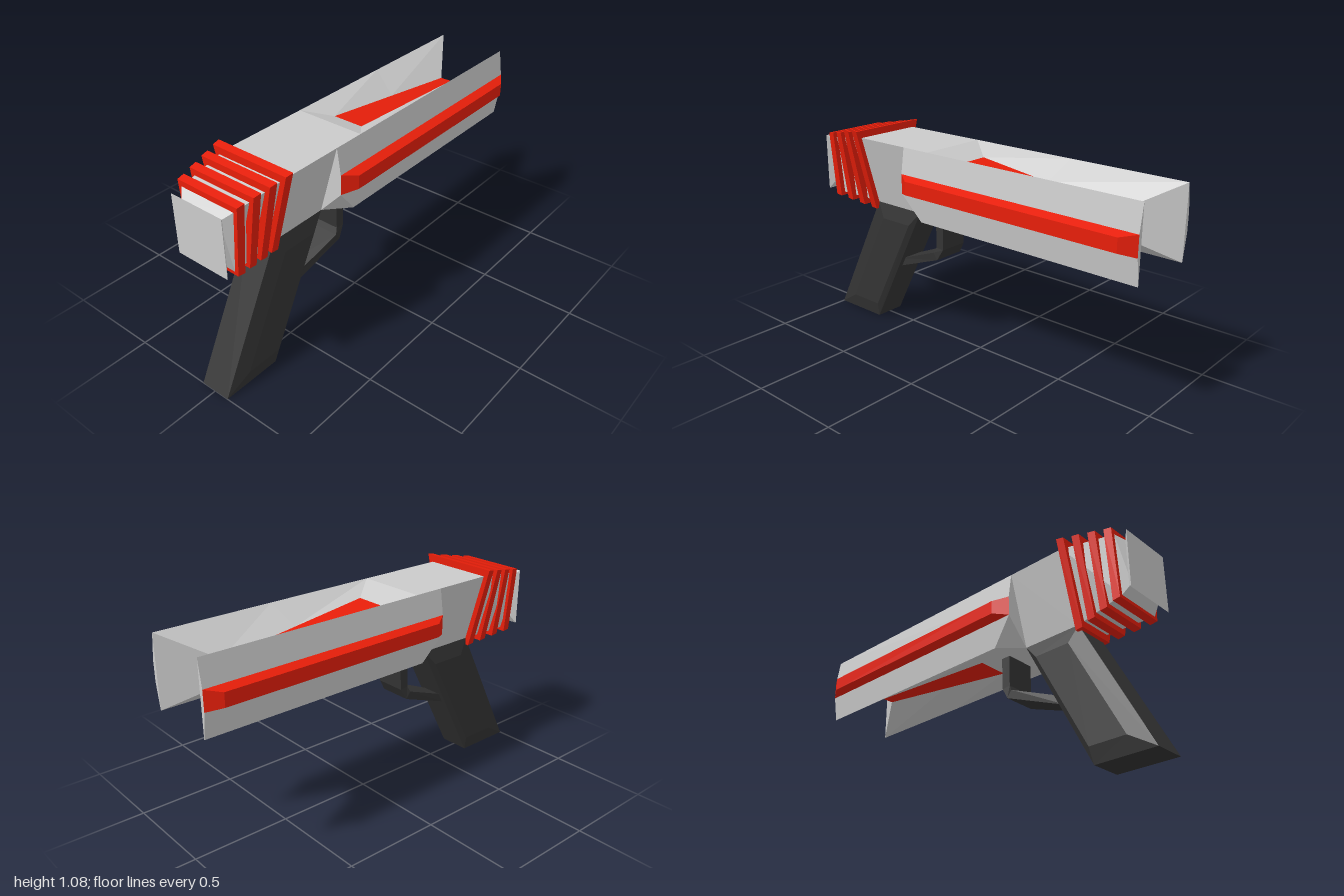
import * as THREE from 'three';

const grey = new THREE.MeshStandardMaterial({ name: 'lightGrey', color: 0xcbcbcb });
const red = new THREE.MeshStandardMaterial({ name: 'red', color: 0xec1f0a });
const dark = new THREE.MeshStandardMaterial({ name: 'charcoal', color: 0x333333 });

// Flat-faced mesh from convex polygons, each fanned into triangles
function faces(name, material, polys) {
  const pos = [];
  for (const p of polys)
    for (let i = 1; i < p.length - 1; i++) pos.push(...p[0], ...p[i], ...p[i + 1]);
  const geo = new THREE.BufferGeometry();
  geo.setAttribute('position', new THREE.Float32BufferAttribute(pos, 3));
  geo.computeVertexNormals();
  const mesh = new THREE.Mesh(geo, material);
  mesh.name = name;
  return mesh;
}

// Closed solid through rings of equal length
function loft(name, material, rings) {
  const polys = [[...rings[0]].reverse(), rings[rings.length - 1]];
  for (let r = 0; r < rings.length - 1; r++) {
    const a = rings[r], b = rings[r + 1];
    a.forEach((p, i) => {
      const j = (i + 1) % a.length;
      polys.push([p, a[j], b[j]], [p, b[j], b[i]]);
    });
  }
  return faces(name, material, polys);
}

// Adds the copy of each polygon on the other side
const mirrored = (polys) =>
  polys.concat(polys.map((poly) => poly.map(([x, y, z]) => [x, y, -z]).reverse()));

// Trapezoid cross-section at x
const section = (x, top, bottom, wTop, wBottom) => [
  [x, top, -wTop], [x, top, wTop], [x, bottom, wBottom], [x, bottom, -wBottom],
];
const atZ = (outline, z) => outline.map(([x, y]) => [x, y, z]);

export function createModel() {
  const g = new THREE.Group();
  g.name = 'toyBlaster';

  // Barrel: two bulged side plates joined by a tapering core
  const A = [-0.18, 1.04, 0.18], A2 = [-0.18, 0.68, 0.18];
  const B = [1, 1.04, 0.18], B2 = [1, 0.68, 0.18];
  const C = [0.77, 0.906, 0.03], C2 = [0.77, 0.79, 0.03];
  const D = [-0.05, 0.99, 0.08], D2 = [-0.05, 0.705, 0.08];
  const K = [0.4, 1.04, 0.18], K2 = [0.4, 0.68, 0.18];
  const L = [0.36, 0.948, 0.055], L2 = [0.36, 0.7475, 0.055];
  const E = [-0.34, 1.04, 0.18], G = [-0.34, 0.68, 0.08], F = [-0.23, 0.68, 0.18];
  const M = [-0.34, 0.91, 0.2], N = [-0.34, 0.81, 0.2];
  const P = [1, 0.91, 0.2], Q = [1, 0.81, 0.2];
  const mid = ([x, y]) => [x, y, 0];
  g.add(faces('barrel', grey, mirrored([
    [E, M, P, B], [M, N, Q, P], [N, F, B2, Q],    // outer sides
    [N, G, F],                                    // cut lower corner
    [B, P, Q, B2],                                // plate ends
    [A, K, L, D], [K, B, C, L],                   // upper channel
    [D2, L2, K2, A2], [L2, C2, B2, K2],           // lower channel
    [B, B2, C2, C],                               // muzzle slopes
    [A, D, mid(D), mid(A)], [A2, mid(A2), mid(D2), D2],
    [E, A, mid(A), mid(E)], [G, mid(G), mid(A2), A2, F],
    [E, mid(E), mid(G), G, N, M],                 // rear shoulder
  ])));

  // Red core between the plates
  g.add(faces('barrelCore', red, mirrored([
    [D, C, mid(C), mid(D)], [D2, mid(D2), mid(C2), C2], [C, C2, mid(C2), mid(C)],
  ])));

  // Receiver, narrowing below and toward the back
  g.add(loft('receiver', grey, [
    section(-0.96, 0.965, 0.75, 0.11, 0.105),
    section(-0.92, 1.0, 0.7, 0.15, 0.125),
    section(-0.65, 1.04, 0.68, 0.18, 0.08),
    section(-0.34, 1.04, 0.68, 0.18, 0.08),
  ]));
  g.add(loft('endPlate', grey, [
    section(-0.98, 1.0, 0.705, 0.145, 0.145),
    section(-0.957, 0.972, 0.742, 0.122, 0.122),
  ]));

  // Cooling fins
  for (let i = 0; i < 4; i++) {
    const x = -0.92 + i * 0.078;
    const top = 1.033 + i * 0.0145, bottom = 0.68 - i * 0.012;
    const wTop = 0.175 + i * 0.0133, wBottom = 0.143 - i * 0.014;
    g.add(loft('fin' + (i + 1), red, [
      section(x, top - 0.006, bottom + 0.004, wTop - 0.004, wBottom),
      section(x + 0.038, top, bottom, wTop, wBottom),
    ]));
  }

  // Bevelled rails along both sides
  const base = [[-0.34, 0.81], [1, 0.81], [1, 0.91], [-0.34, 0.91]];
  const face = [[-0.27, 0.826], [0.93, 0.826], [0.93, 0.894], [-0.27, 0.894]];
  g.add(loft('leftRail', red, [atZ(base, 0.2), atZ(face, 0.245)]));
  g.add(loft('rightRail', red, [atZ(face, -0.245), atZ(base, -0.2)]));

  // Raked grip with raised side panels
  const grip = [[-1, 0], [-0.69, 0], [-0.34, 0.68], [-0.65, 0.68]];
  const panel = [[-0.87, 0.08], [-0.68, 0.08], [-0.41, 0.6], [-0.6, 0.6]];
  g.add(loft('grip', dark, [
    atZ(panel, -0.098), atZ(grip, -0.08), atZ(grip, 0.08), atZ(panel, 0.098),
  ]));

  // Trigger guard: bent bar, narrower where it meets the grip
  const guard = [ // outer x, y, inner x, y, half width
    [-0.18, 0.7, -0.23, 0.7, 0.076], [-0.185, 0.515, -0.23, 0.52, 0.078],
    [-0.22, 0.455, -0.245, 0.49, 0.085], [-0.54, 0.33, -0.52, 0.38, 0.05],
  ];
  g.add(loft('triggerGuard', dark, guard.map(([ox, oy, ix, iy, w]) => [
    [ox, oy, -w], [ox, oy, w], [ix, iy, w], [ix, iy, -w],
  ])));

  return g;
}
